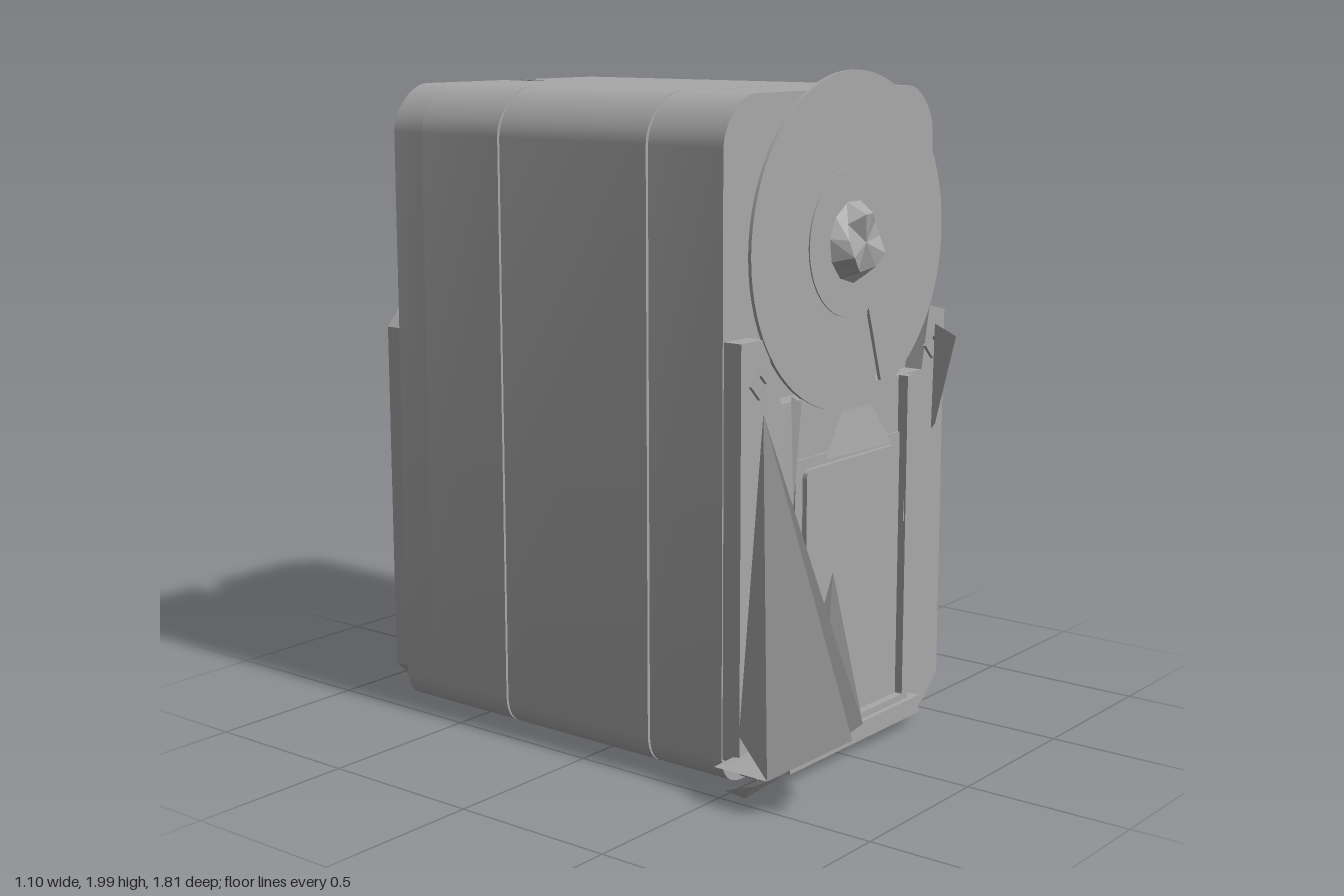
import * as THREE from 'three';
import { toCreasedNormals } from 'three/addons/utils/BufferGeometryUtils.js';

const CX = 0.03; // centre line of the casing
const AXLE_Y = 1.52;

export function createModel() {
  const model = new THREE.Group();
  const grey = new THREE.MeshStandardMaterial({ color: 0xa8a8a8, side: THREE.DoubleSide });
  grey.name = 'casing grey';

  const add = (name, geometry, x = 0, y = 0, z = 0) => {
    const mesh = new THREE.Mesh(geometry, grey);
    mesh.name = name;
    mesh.position.set(x, y, z);
    model.add(mesh);
    return mesh;
  };
  const poly = (pts) => new THREE.Shape(pts.map(([x, y]) => new THREE.Vector2(x, y)));
  const path = (pts) => new THREE.Path(pts.map(([x, y]) => new THREE.Vector2(x, y)));
  const rect = (x0, y0, x1, y1) => [[x0, y0], [x1, y0], [x1, y1], [x0, y1]];
  const circle = (r, n) => Array.from({ length: n }, (_, i) =>
    [r * Math.cos((i / n) * Math.PI * 2), r * Math.sin((i / n) * Math.PI * 2)]);
  // Extrude an x-y outline between two z values
  const slab = (name, shape, z0, z1, x = 0, y = 0) => {
    const g = new THREE.ExtrudeGeometry(shape, { depth: z1 - z0, bevelEnabled: false, curveSegments: 8 });
    return add(name, toCreasedNormals(g, 0.5), x, y, z0);
  };
  const box = (name, x0, x1, y0, y1, z0, z1) =>
    add(name, new THREE.BoxGeometry(x1 - x0, y1 - y0, z1 - z0), (x0 + x1) / 2, (y0 + y1) / 2, (z0 + z1) / 2);

  // Casing outline: cut, softened shoulders and round lower corners
  const casing = (inset = 0, slot = false) => {
    const l = -0.49 + inset, r = 0.55 - inset, b = 0.035 + inset, t = 1.945 - inset;
    const s = new THREE.Shape();
    s.moveTo(l + 0.1, b);
    s.lineTo(r - 0.1, b);
    s.quadraticCurveTo(r, b, r, b + 0.1);
    s.lineTo(r, t - 0.14);
    s.bezierCurveTo(r, t - 0.08, r - 0.07, t, r - 0.14, t);
    if (slot) {
      s.lineTo(0.07, t);
      s.lineTo(0.07, t - 0.18);
      s.lineTo(-0.015, t - 0.18);
      s.lineTo(-0.015, t);
    }
    s.lineTo(l + 0.14, t);
    s.bezierCurveTo(l + 0.07, t, l, t - 0.08, l, t - 0.14);
    s.lineTo(l, b + 0.1);
    s.quadraticCurveTo(l, b, l + 0.1, b);
    return s;
  };

  // Three casing sections, parted by narrow seams
  slab('casingCore', casing(0.012), -0.6, 0.48);
  slab('frontCasing', casing(), 0.244, 0.5);
  slab('middleCasing', casing(), -0.306, 0.236);
  slab('rearCasing', casing(), -0.62, -0.314);
  const rearFace = casing(0, true);
  rearFace.holes.push(path(rect(-0.4, 0.78, 0.46, 1.0)));
  slab('rearFace', rearFace, -0.735, -0.62);
  box('slotStep', -0.015, 0.07, 1.76, 1.85, -0.68, -0.62);

  // Rear frame: lower plate with two arms ending in angled mounting tabs
  const half = [[0.51, 0.14], [0.51, 1.21], [0.46, 1.265], [0.38, 1.265], [0.37, 1.19],
    [0.25, 1.08], [0.25, 1.01], [0.43, 1.0], [0.43, 0.8]];
  const frame = poly([[-0.43, 0.055], [0.43, 0.055], ...half,
    ...half.slice().reverse().map(([x, y]) => [-x, y])]);
  slab('rearFrame', frame, -0.795, -0.73, CX);

  // Rear cover with sloping edges
  const loops = [[-0.79, -0.4, 0.46, 0.24, 0.79], [-0.88, -0.35, 0.41, 0.27, 0.68]];
  const cover = new THREE.BoxGeometry(1, 1, 1);
  const cp = cover.attributes.position;
  for (let i = 0; i < cp.count; i++) {
    const [z, x0, x1, y0, y1] = loops[cp.getZ(i) > 0 ? 0 : 1];
    cp.setXYZ(i, cp.getX(i) < 0 ? x0 : x1, cp.getY(i) < 0 ? y0 : y1, z);
  }
  cover.computeVertexNormals();
  add('rearCover', cover);
  box('coverLip', -0.4, 0.46, 0.76, 0.84, -0.76, -0.73);

  // Rear axle: flange and socketed shaft
  const disc = (name, r, z0, z1, n = 40) => slab(name, poly(circle(r, n)), z0, z1, CX, AXLE_Y);
  disc('rearFlange', 0.21, -0.742, -0.73);
  const shaft = poly(circle(0.125, 32));
  shaft.holes.push(path(circle(0.055, 6)));
  slab('rearShaft', shaft, -0.91, -0.74, CX, AXLE_Y);

  // Four square-headed screws on the rear, two on the front
  const screw = (x, y, z) => {
    const ring = poly(circle(0.042, 4));
    ring.holes.push(path(circle(0.028, 4)));
    slab('screw', ring, z - 0.006, z + 0.006, x, y);
  };
  for (const side of [-1, 1]) {
    for (const y of [0.13, 1.17]) screw(CX + side * 0.44, y, -0.797);
    screw(CX + side * 0.44, 1.17, 0.562);
  }

  // Front lower block, with a hollow below the horn
  const block = poly([[-0.4, 0.045], [0.46, 0.045], [0.545, 0.12], [0.545, 1.27], [0.46, 1.29],
    [0.42, 1.1], [-0.3, 1.1], [-0.38, 1.29], [-0.485, 1.29], [-0.485, 0.12]]);
  slab('frontBlock', block, 0.49, 0.558);
  box('frontFrame', -0.24, 0.32, 0.1, 0.93, 0.55, 0.565);
  const panel = new THREE.Shape();
  const [pl, pr, pb, pt, pc] = [-0.205, 0.26, 0.22, 0.9, 0.025];
  panel.moveTo(pl + pc, pb);
  panel.lineTo(pr - pc, pb);
  panel.quadraticCurveTo(pr, pb, pr, pb + pc);
  panel.lineTo(pr, pt - pc);
  panel.quadraticCurveTo(pr, pt, pr - pc, pt);
  panel.lineTo(pl + pc, pt);
  panel.quadraticCurveTo(pl, pt, pl, pt - pc);
  panel.lineTo(pl, pb + pc);
  panel.quadraticCurveTo(pl, pb, pl + pc, pb);
  slab('frontPanel', panel, 0.56, 0.58);
  box('sideRail', 0.295, 0.325, 0.1, 1.1, 0.55, 0.59);
  box('bottomLedge', -0.31, 0.37, 0.045, 0.1, 0.5, 0.605);
  box('ledgeStep', -0.23, 0.31, 0.1, 0.12, 0.55, 0.59);

  // Horn: thin slit disc, base and jagged hub
  disc('hornBase', 0.24, 0.49, 0.555);
  const horn = poly(circle(0.48, 72));
  horn.holes.push(path([[0.07, -0.22], [0.09, -0.2], [0.16, -0.42], [0.14, -0.44]]));
  slab('hornDisc', horn, 0.553, 0.563, CX, AXLE_Y);
  disc('hubRing', 0.215, 0.56, 0.567);
  const hub = new THREE.CylinderGeometry(0.085, 0.12, 0.06, 11, 1).toNonIndexed();
  hub.rotateX(Math.PI / 2);
  const hp = hub.attributes.position;
  for (let i = 0; i < hp.count; i++) {
    if (hp.getZ(i) > 0) hp.setZ(i, 0.015 + 0.02 * Math.sin(hp.getX(i) * 40 + hp.getY(i) * 23));
  }
  hub.computeVertexNormals();
  add('jaggedHub', hub, CX, AXLE_Y, 0.595);

  // Bent shards: a fan of triangles from a tip through a run of points
  const shard = (name, tip, ...run) => {
    const v = [];
    for (let i = 0; i + 1 < run.length; i++) v.push(...tip, ...run[i], ...run[i + 1]);
    const g = new THREE.BufferGeometry();
    g.setAttribute('position', new THREE.Float32BufferAttribute(v, 3));
    g.computeVertexNormals();
    add(name, g);
  };
  const low = [[-0.49, 0.2, 0.56], [-0.55, 0.12, 0.7], [-0.44, 0.25, 0.9], [-0.4, 0.17, 0.77],
    [-0.36, 0.27, 0.88], [-0.28, 0.19, 0.72], [-0.3, 0.3, 0.57]];
  shard('tallShard', [-0.4, 1.09, 0.57], ...low);
  shard('sideShard', [-0.1, 0.59, 0.6], low[3], low[4], low[5], [-0.3, 0.25, 0.62], low[3]);
  shard('shardFoot', [-0.55, 0.12, 0.52], low[1], low[3], low[5], [-0.4, 0.15, 0.56]);
  shard('lowerChip', [-0.46, 0.01, 0.56], [-0.53, 0.05, 0.54], [-0.48, 0.06, 0.6], [-0.31, 0.035, 0.58]);
  shard('thinShard', [-0.27, 1.12, 0.57], [-0.3, 0.92, 0.565], [-0.27, 0.8, 0.58], [-0.25, 1.1, 0.59]);
  shard('rightShard', [0.32, 1.12, 0.58], [0.29, 0.66, 0.585], [0.36, 0.66, 0.6], [0.45, 0.65, 0.565]);
  shard('lowRightShard', [0.35, 0.75, 0.575], [0.33, 0.22, 0.58], [0.4, 0.3, 0.59], [0.47, 0.2, 0.565]);
  shard('upperRightShard', [0.43, 1.21, 0.67], [0.44, 1.24, 0.59], [0.43, 0.92, 0.59], [0.42, 0.94, 0.61],
    [0.43, 1.21, 0.67]);
  shard('wedge', [-0.02, 1.04, 0.57], [-0.12, 0.92, 0.585], [0.22, 0.91, 0.585], [0.13, 1.04, 0.57]);

  return model;
}
